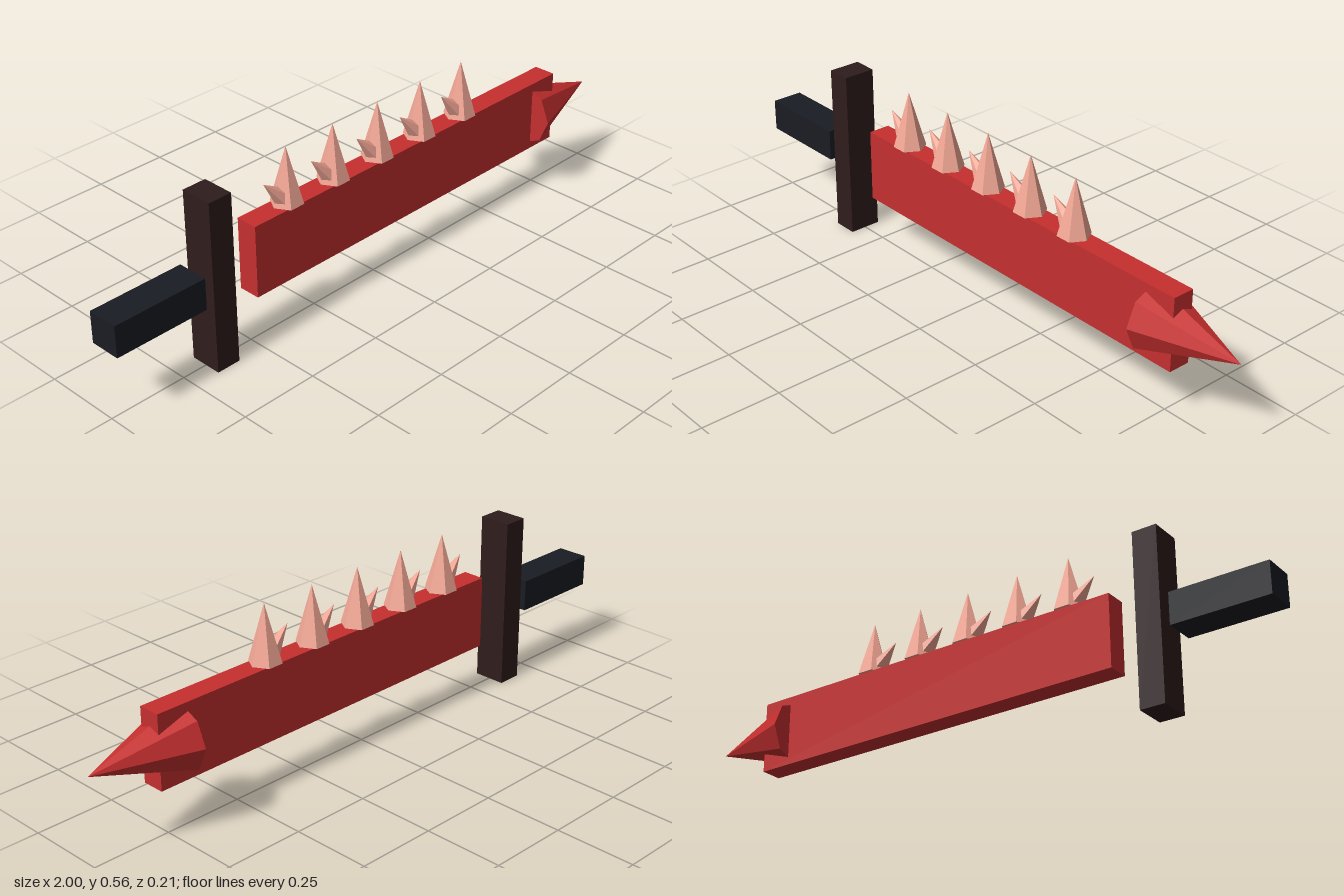
import * as THREE from 'three';

const material = (color) => new THREE.MeshStandardMaterial({ color, flatShading: true });

export function createModel() {
  const sword = new THREE.Group();
  sword.name = 'spikedSword';

  const red = material(0xc62f2f);
  const pink = material(0xf4a896);
  const darkBrown = material(0x2f1c1c);
  const darkBlue = material(0x1a1c24);

  const add = (name, geometry, mat, x, y, parent = sword) => {
    const mesh = new THREE.Mesh(geometry, mat);
    mesh.name = name;
    mesh.position.set(x, y, 0);
    parent.add(mesh);
    return mesh;
  };

  // Grip, crossguard and blade: plain blocks separated by small gaps
  add('handle', new THREE.BoxGeometry(0.305, 0.1, 0.1), darkBlue, -0.8475, 0.272);
  add('crossguard', new THREE.BoxGeometry(0.078, 0.543, 0.103), darkBrown, -0.63, 0.2715);
  add('blade', new THREE.BoxGeometry(1.29, 0.23, 0.07), red, 0.147, 0.273);

  // Eight-sided point over the blade's end
  const tip = add('bladeTip', new THREE.ConeGeometry(0.103, 0.31, 8), red, 0.845, 0.272);
  tip.rotation.z = -Math.PI / 2;

  // Teeth: an upright spike with a smaller barb leaning toward the handle
  const spikeGeometry = new THREE.ConeGeometry(0.05, 0.177, 6).rotateY(Math.PI / 6);
  const barbGeometry = new THREE.ConeGeometry(0.038, 0.122, 6)
    .rotateY(Math.PI / 6)
    .translate(0, 0.061, 0);
  for (let i = 0; i < 5; i++) {
    const tooth = new THREE.Group();
    tooth.name = 'tooth' + (i + 1);
    tooth.position.set(-0.345 + i * 0.181, 0.388, 0);
    add('spike', spikeGeometry, pink, 0, 0.0885, tooth);
    add('barb', barbGeometry, pink, 0, 0.004, tooth).rotation.z = Math.PI / 4;
    sword.add(tooth);
  }

  return sword;
}
